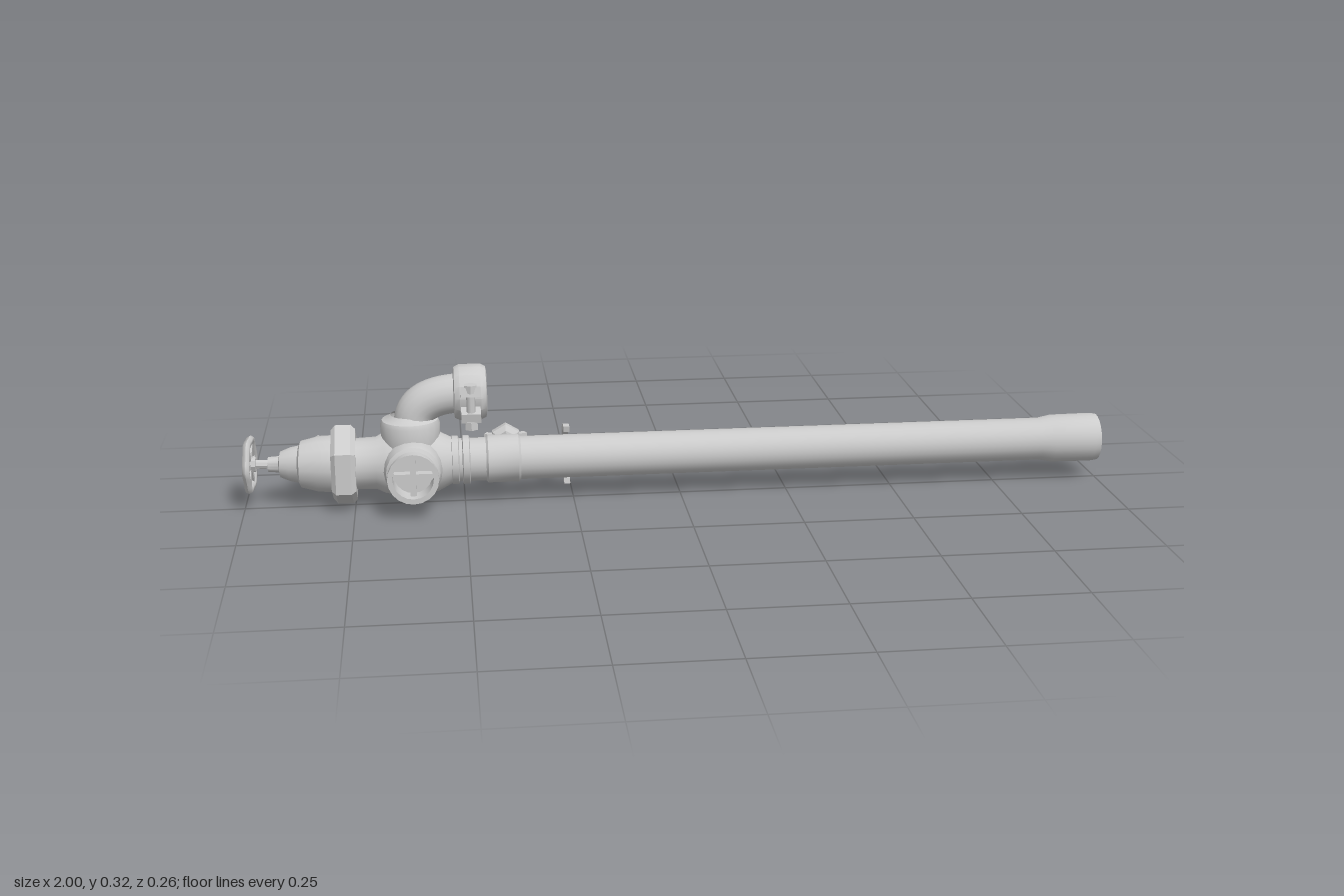
import * as THREE from 'three';
import { toCreasedNormals } from 'three/addons/utils/BufferGeometryUtils.js';

const grey = new THREE.MeshStandardMaterial({ color: 0xcccccc, side: THREE.DoubleSide });
const Y = 0.097, Z = -0.009; // main pipe axis
const TEE = -0.62;           // tee centre along x

function add(parent, name, geometry, x = 0, y = 0, z = 0) {
  const mesh = new THREE.Mesh(geometry, grey);
  mesh.name = name;
  mesh.position.set(x, y, z);
  parent.add(mesh);
  return mesh;
}

// Turned part from [distance along axis, radius] pairs; axis is +x, +y, +z or -z
function turned(profile, axis = 'x', sides = 20, crease = 0.6) {
  let g = new THREE.LatheGeometry(profile.map(([a, r]) => new THREE.Vector2(r, a)), sides);
  g = toCreasedNormals(g, crease);
  if (axis === 'x') g.rotateZ(-Math.PI / 2);
  if (axis === 'z') g.rotateX(Math.PI / 2);
  if (axis === '-z') g.rotateX(-Math.PI / 2);
  return g;
}

// Small hex-mouthed outlet pointing backwards, with two winged lugs
function sideFitting(parent, name, x, y) {
  const g = new THREE.Group();
  g.name = name;
  g.position.set(x, y, Z);
  add(g, 'spout', turned([[0.02, 0.03], [0.07, 0.026], [0.08, 0.022], [0.09, 0.036],
    [0.108, 0.036], [0.108, 0.02], [0.085, 0.018], [0.085, 0]], '-z', 6, 0.3));
  for (const s of [-1, 1]) {
    const lug = add(g, 'lug', new THREE.BoxGeometry(0.028, 0.022, 0.016), s * 0.034, 0, -0.104);
    lug.rotation.y = s * 0.4;
  }
  parent.add(g);
}

export function createModel() {
  const model = new THREE.Group();

  // Long hollow pipe with a belled mouth
  add(model, 'pipe', turned([[-0.56, 0.05], [0.86, 0.05], [0.89, 0.056], [0.985, 0.057],
    [1, 0.055], [1, 0.051], [0.9, 0.05], [0.87, 0.045], [-0.5, 0.045]], 'x', 24), 0, Y, Z);
  for (const x of [-0.52, -0.495])
    add(model, 'pipeCollar', turned([[-0.009, 0.05], [-0.007, 0.056], [0.007, 0.056], [0.009, 0.05]]), x, Y, Z);

  // Tee body
  add(model, 'teeBody', turned([[-0.75, 0.058], [-0.7, 0.06], [-0.68, 0.07], [-0.65, 0.075],
    [-0.59, 0.075], [-0.56, 0.07], [-0.535, 0.057], [-0.52, 0.05]], 'x', 20, 0.9), 0, Y, Z);
  add(model, 'topCollar', turned([[0.09, 0.06], [0.15, 0.066], [0.19, 0.068], [0.2, 0.064],
    [0.205, 0.052], [0.212, 0.044]], 'y'), TEE, 0, -0.006);

  // Front outlet with recessed cross
  add(model, 'frontOutlet', turned([[0, 0.066], [0.07, 0.066], [0.085, 0.061], [0.09, 0.053],
    [0.112, 0.053], [0.118, 0.058], [0.131, 0.058], [0.131, 0.046], [0.09, 0.044], [0.09, 0]], 'z'),
  TEE + 0.004, Y, 0);
  add(model, 'outletCrossUpright', new THREE.BoxGeometry(0.014, 0.09, 0.025), TEE + 0.004, Y, 0.1);
  add(model, 'outletCrossBar', new THREE.BoxGeometry(0.09, 0.014, 0.025), TEE + 0.004, Y, 0.1);

  // Rear blank cap with rim lugs
  add(model, 'rearCap', turned([[0, 0.064], [0.075, 0.064], [0.08, 0.069], [0.094, 0.069],
    [0.099, 0.062], [0.099, 0.044], [0.088, 0.042], [0.088, 0]], '-z'), TEE, Y, 0);
  for (let i = 0; i < 4; i++) {
    const a = Math.PI * (i / 2 + 0.25);
    const lug = add(model, 'capLug', new THREE.BoxGeometry(0.022, 0.026, 0.022),
      TEE + 0.067 * Math.cos(a), Y + 0.06 * Math.sin(a), -0.092);
    lug.rotation.z = a;
  }

  // Elbow rising from the tee and turning along the pipe
  const bend = new THREE.CubicBezierCurve3(new THREE.Vector3(-0.612, 0.19, -0.004),
    new THREE.Vector3(-0.612, 0.235, -0.004), new THREE.Vector3(-0.57, 0.259, -0.002),
    new THREE.Vector3(-0.49, 0.259, -0.002));
  add(model, 'elbow', new THREE.TubeGeometry(bend, 20, 0.045, 18));

  // Bolted coupling on the elbow mouth
  const coupling = new THREE.Group();
  coupling.name = 'coupling';
  coupling.position.set(-0.482, 0.26, -0.002);
  model.add(coupling);
  add(coupling, 'couplingRing', turned([[-0.038, 0.046], [-0.036, 0.058], [-0.024, 0.064],
    [0.024, 0.064], [0.036, 0.058], [0.038, 0.046], [-0.038, 0.044]], 'x', 14));
  for (const s of [-1, 1]) {
    for (const [y, tilt] of [[0.02, 0.2], [-0.033, -0.2]]) {
      const ear = add(coupling, 'couplingEar', new THREE.BoxGeometry(0.044, 0.022, 0.042), 0, y, s * 0.074);
      ear.rotation.x = -s * tilt;
    }
    add(coupling, 'couplingBolt', new THREE.CylinderGeometry(0.01, 0.01, 0.1, 8), 0, -0.016, s * 0.083);
    for (const y of [0.03, -0.055])
      add(coupling, 'couplingNut', toCreasedNormals(new THREE.CylinderGeometry(0.016, 0.016, 0.018, 6), 0.3), 0, y, s * 0.083);
  }

  // Hexagonal union, corner upward
  const hex = turned([[-0.8, 0.05], [-0.8, 0.082], [-0.79, 0.094], [-0.755, 0.094],
    [-0.745, 0.084], [-0.745, 0.05]], 'x', 6, 0.3);
  hex.rotateX(Math.PI / 6);
  add(model, 'hexUnion', hex, 0, 0.095, -0.011);

  // Valve bonnet, stem and handwheel, turned slightly to the rear
  const valve = new THREE.Group();
  valve.name = 'valve';
  valve.position.set(-0.77, Y, -0.013);
  valve.rotation.y = -0.075;
  model.add(valve);
  add(valve, 'bonnet', turned([[-0.175, 0], [-0.175, 0.017], [-0.15, 0.019], [-0.147, 0.03],
    [-0.125, 0.039], [-0.105, 0.043], [-0.1, 0.054], [-0.06, 0.064], [0, 0.067], [0.02, 0.062]], 'x', 16));
  add(valve, 'stem', turned([[-0.226, 0], [-0.226, 0.012], [-0.17, 0.01]], 'x', 8));
  const wheel = new THREE.Group();
  wheel.name = 'handwheel';
  wheel.position.x = -0.217;
  valve.add(wheel);
  const rim = new THREE.TorusGeometry(0.056, 0.009, 6, 24);
  // Scallop the rim between its six spokes
  const p = rim.attributes.position;
  for (let i = 0; i < p.count; i++) {
    const k = 1 + 0.06 * Math.cos(6 * Math.atan2(p.getY(i), p.getX(i)));
    p.setXY(i, p.getX(i) * k, p.getY(i) * k);
  }
  rim.rotateY(Math.PI / 2);
  rim.computeVertexNormals();
  add(wheel, 'wheelRim', rim);
  for (let i = 0; i < 3; i++)
    add(wheel, 'wheelSpoke', new THREE.BoxGeometry(0.009, 0.012, 0.108)).rotation.x = i * Math.PI / 3;
  add(wheel, 'wheelHub', turned([[-0.01, 0], [-0.01, 0.015], [0.014, 0.018], [0.014, 0]], 'x', 8));

  // Rear outlets
  sideFitting(model, 'valveOutlet', -0.835, 0.1);
  sideFitting(model, 'pipeOutlet', -0.4, 0.115);
  add(model, 'pipeOutletSaddle', turned([[-0.04, 0.05], [-0.035, 0.055], [0.035, 0.055], [0.04, 0.05]]), -0.41, Y, Z);

  // Open strap hooked around the back of the pipe
  const strap = new THREE.Shape();
  strap.absarc(0, 0, 0.07, -1.75, 1.75, false);
  strap.absarc(0, 0, 0.056, 1.75, -1.75, true);
  const strapGeo = new THREE.ExtrudeGeometry(strap, { depth: 0.014, bevelEnabled: false, curveSegments: 14 });
  strapGeo.translate(0, 0, -0.007).rotateY(Math.PI / 2);
  add(model, 'strap', toCreasedNormals(strapGeo, 0.6), -0.263, Y + 0.001, Z - 0.014);

  return model;
}
